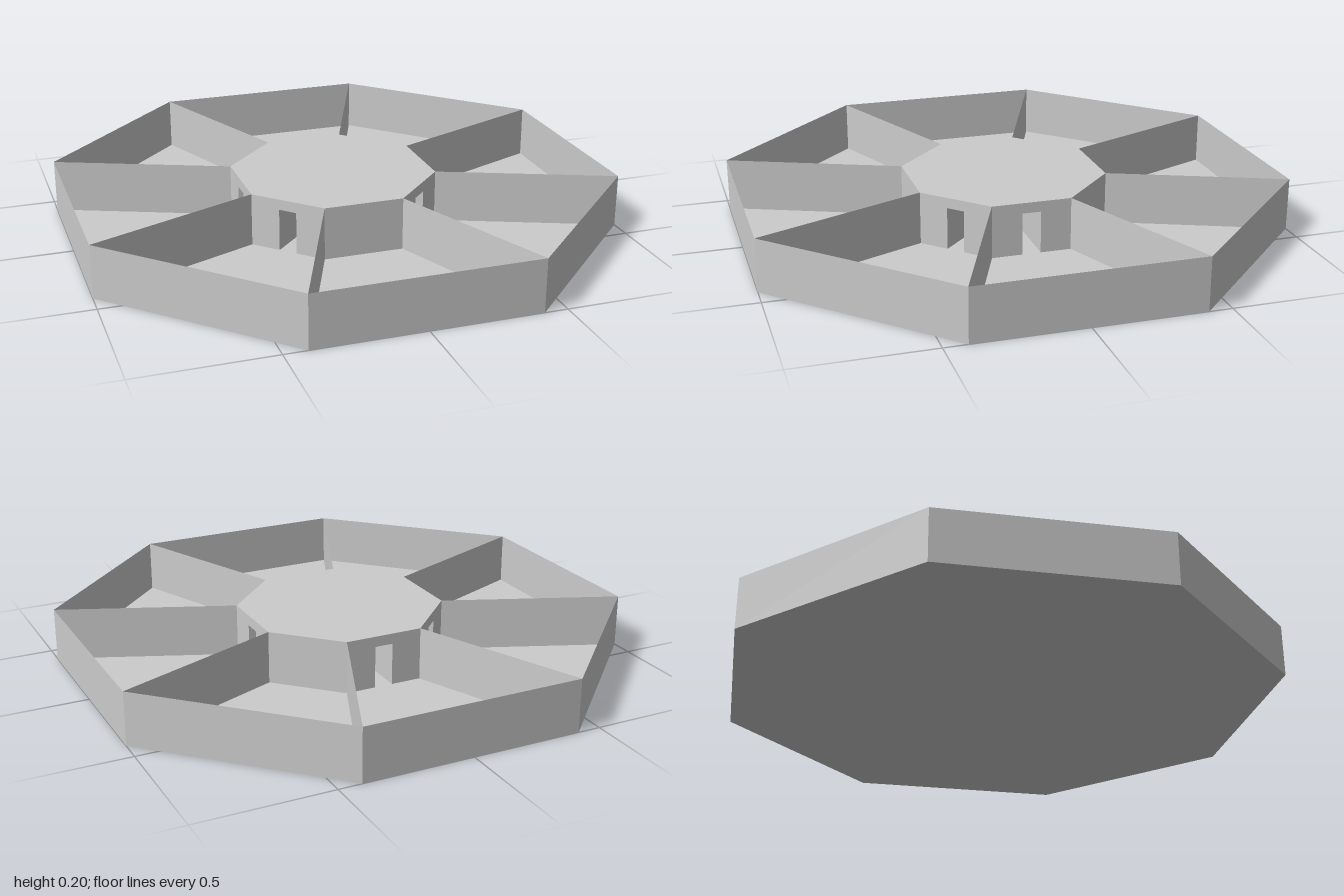
import * as THREE from 'three';

const material = new THREE.MeshStandardMaterial({ color: 0xcccccc, flatShading: true, side: THREE.DoubleSide });
const SIDES = 8, STEP = Math.PI / 4, HALF = Math.PI / 8;
const HEIGHT = 0.2, OUTER = 1, HUB = 0.363;            // distances from centre to flat sides
const DOOR_W = 0.07, DOOR_H = 0.16;
const CORE = DOOR_W / 2 / Math.tan(HALF);              // where the passages end
const DOORS = [1, 2, 4, 5, 6, 7];                      // hub sides with a doorway, counted from +z towards +x

function add(parent, name, geometry, x = 0, y = 0, z = 0) {
  const mesh = new THREE.Mesh(geometry, material);
  mesh.name = name;
  mesh.position.set(x, y, z);
  parent.add(mesh);
  return mesh;
}

// Horizontal octagon with flat sides facing the axes
function octagon(apothem) {
  const g = new THREE.CircleGeometry(apothem / Math.cos(HALF), SIDES, HALF);
  return g.rotateX(-Math.PI / 2);
}

// Upright hub side, optionally with a doorway cut up from the floor
function hubSide(hasDoor) {
  const w = HUB * Math.tan(HALF), d = DOOR_W / 2;
  const points = [[-w, 0]];
  if (hasDoor) points.push([-d, 0], [-d, DOOR_H], [d, DOOR_H], [d, 0]);
  points.push([w, 0], [w, HEIGHT], [-w, HEIGHT]);
  return new THREE.ShapeGeometry(new THREE.Shape(points.map(p => new THREE.Vector2(...p))));
}

// Side walls, ceiling and end of the passage behind a doorway
function addPassage(parent) {
  const depth = HUB - CORE, mid = (HUB + CORE) / 2;
  for (const s of [-1, 1]) {
    add(parent, 'passageWall', new THREE.PlaneGeometry(depth, DOOR_H).rotateY(Math.PI / 2), s * DOOR_W / 2, DOOR_H / 2, mid);
  }
  add(parent, 'passageCeiling', new THREE.PlaneGeometry(DOOR_W, depth).rotateX(Math.PI / 2), 0, DOOR_H, mid);
  add(parent, 'passageEnd', new THREE.PlaneGeometry(DOOR_W, DOOR_H), 0, DOOR_H / 2, CORE);
}

export function createModel() {
  const model = new THREE.Group();
  model.name = 'octagonalBuilding';

  add(model, 'floor', octagon(OUTER));
  add(model, 'hubRoof', octagon(HUB), 0, HEIGHT, 0);

  // Outer wall ring
  const radius = OUTER / Math.cos(HALF);
  add(model, 'outerWall', new THREE.CylinderGeometry(radius, radius, HEIGHT, SIDES, 1, true, HALF), 0, HEIGHT / 2, 0);

  const inner = HUB / Math.cos(HALF);
  for (let i = 0; i < SIDES; i++) {
    // Hub side with its doorway
    const side = new THREE.Group();
    side.name = 'hubSide';
    side.rotation.y = i * STEP;
    const hasDoor = DOORS.includes(i);
    add(side, 'hubWall', hubSide(hasDoor), 0, 0, HUB);
    if (hasDoor) addPassage(side);
    model.add(side);

    // Thin partition from hub corner to outer corner
    const spoke = new THREE.Group();
    spoke.name = 'partition';
    spoke.rotation.y = i * STEP + HALF;
    add(spoke, 'partitionWall', new THREE.PlaneGeometry(radius - inner, HEIGHT).rotateY(Math.PI / 2), 0, HEIGHT / 2, (radius + inner) / 2);
    model.add(spoke);
  }
  return model;
}
